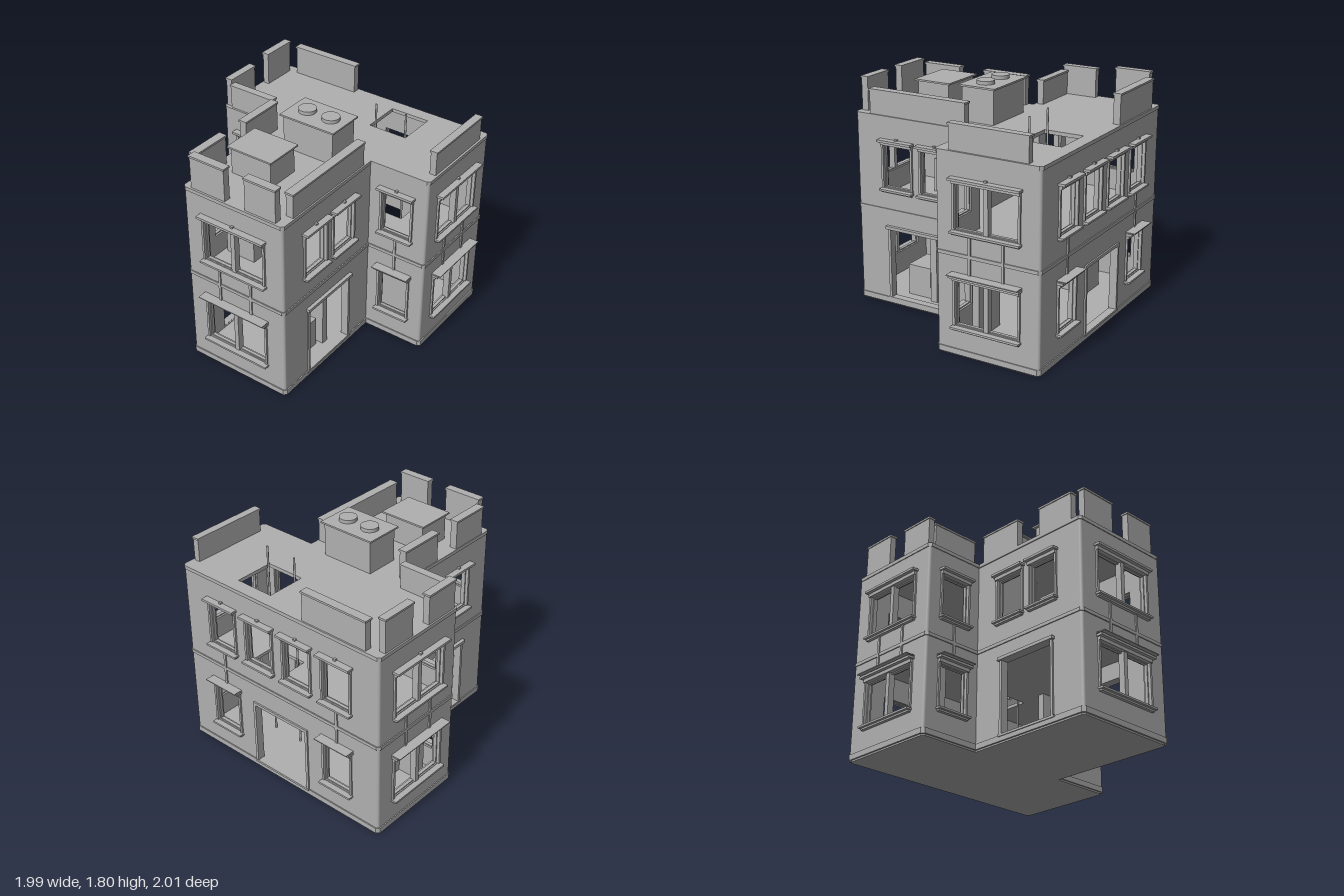
import * as THREE from 'three';

const stone = new THREE.MeshStandardMaterial({ color: 0xb0b0b0 });
stone.name = 'grey stone';

function add(parent, name, geometry) {
  const mesh = new THREE.Mesh(geometry, stone);
  mesh.name = name;
  parent.add(mesh);
  return mesh;
}

// Box given by its minimum and maximum on each axis
function box(parent, name, x0, x1, y0, y1, z0, z1) {
  const mesh = add(parent, name, new THREE.BoxGeometry(x1 - x0, y1 - y0, z1 - z0));
  mesh.position.set((x0 + x1) / 2, (y0 + y1) / 2, (z0 + z1) / 2);
  return mesh;
}

function rectPath(x0, x1, y0, y1) {
  return new THREE.Path([[x0, y0], [x1, y0], [x1, y1], [x0, y1]].map(p => new THREE.Vector2(...p)));
}

const BAR = 0.92, STEM = 0.43, BACK = -0.93, STEP = -0.11, FRONT = 0.925, R = 0.02, THICK = 0.05;

// T-shaped slab with cut outer corners, used for plinth, floors and roof
function slab(parent, name, y0, y1, out, hatch) {
  const c = 0.022, b = BAR + out, s = STEM + out, k = BACK - out, m = STEP + out, f = FRONT + out;
  const half = [[s - c, f], [s, f - c], [s, m], [b - c, m], [b, m - c], [b, k + c], [b - c, k]];
  const outline = [...half, ...half.map(([x, z]) => [-x, z]).reverse()];
  const shape = new THREE.Shape(outline.map(([x, z]) => new THREE.Vector2(x, -z)));
  if (hatch) shape.holes.push(rectPath(0.145, 0.46, 0.52, 0.83));
  const geo = new THREE.ExtrudeGeometry(shape, { depth: y1 - y0, bevelEnabled: false });
  geo.rotateX(-Math.PI / 2);
  add(parent, name, geo).position.y = y0;
}

// Trim around a window; the wall plane is local z = 0 and faces +z
function windowTrim(g, { c, w, y0, y1, panes = 1, strips = [] }, upper) {
  const a = c - w / 2, b = c + w / 2, t = 0.014;
  for (const s of [-1, 1]) {
    const e = c + s * w / 2;
    box(g, 'windowJamb', Math.min(e, e + s * 0.018), Math.max(e, e + s * 0.018), y0, y1, -0.02, t);
  }
  box(g, 'windowSill', a - 0.025, b + 0.025, y0 - 0.02, y0 - 0.005, -0.02, 0.045);
  box(g, 'sillMoulding', a - 0.015, b + 0.015, y0 - 0.033, y0 - 0.02, -0.02, 0.025);
  box(g, 'windowHead', a - 0.018, b + 0.018, y1, y1 + 0.026, -0.02, 0.025);
  box(g, 'lintel', a - 0.03, b + 0.03, y1 + 0.026, y1 + 0.044, -0.02, 0.052);
  if (upper) box(g, 'keystone', c - 0.01, c + 0.01, y1 + 0.044, y1 + 0.056, -0.01, 0.02);
  else box(g, 'dripPlate', a - 0.03, b + 0.03, y1 + 0.05, y1 + 0.057, -0.02, 0.076);
  // slim sash frame in the opening
  const f = 0.008;
  box(g, 'sash', a, b, y0 - 0.005, y0 + f, -0.035, -0.01);
  box(g, 'sash', a, b, y1 - f, y1, -0.035, -0.01);
  box(g, 'sash', a, a + f, y0, y1, -0.035, -0.01);
  box(g, 'sash', b - f, b, y0, y1, -0.035, -0.01);
  if (panes === 2) box(g, 'mullion', c - 0.018, c + 0.018, y0, y1, -0.04, 0.01);
  // strips joining the two storeys
  for (const u of strips) box(g, 'storeyStrip', u - 0.01, u + 0.01, 0.62, 0.92, -0.01, 0.01);
}

function doorTrim(g, { c, w, y0, y1, lintel }) {
  const a = c - w / 2, b = c + w / 2;
  box(g, 'doorJamb', a - 0.022, a, y0, y1, -0.02, 0.012);
  box(g, 'doorJamb', b, b + 0.022, y0, y1, -0.02, 0.012);
  const o = lintel ? 0.033 : 0.022;
  box(g, 'doorLintel', a - o, b + o, y1, y1 + 0.024, -0.02, lintel ? 0.028 : 0.012);
  box(g, 'doorStep', a - o, b + o, 0.045, 0.062, -0.04, 0.015);
}

// Wall with openings: turned by angle, its outer face at the given distance
function wall(parent, name, angle, distance, u0, u1, openings) {
  const g = new THREE.Group();
  g.name = name;
  g.rotation.y = angle;
  g.position.set(Math.sin(angle) * distance, 0, Math.cos(angle) * distance);
  const shape = new THREE.Shape(rectPath(u0, u1, 0.03, 1.49).getPoints());
  for (const o of openings) shape.holes.push(rectPath(o.c - o.w / 2, o.c + o.w / 2, o.y0, o.y1));
  const geo = new THREE.ExtrudeGeometry(shape, { depth: THICK, bevelEnabled: false });
  geo.translate(0, 0, -THICK);
  add(g, name + 'Panel', geo);
  for (const o of openings) o.door ? doorTrim(g, o) : windowTrim(g, o, o.y0 > 0.7);
  parent.add(g);
}

const LOW = { y0: 0.235, y1: 0.575 }, HIGH = { y0: 0.945, y1: 1.28 };
// A window on each storey, the upper one carrying the strips
const stack = (c, w, panes, strips) => [{ c, w, panes, ...LOW }, { c, w, panes, strips, ...HIGH }];

export function createModel() {
  const model = new THREE.Group();
  model.name = 'building';

  // Floors, belt courses and roof
  slab(model, 'baseSlab', 0, 0.015, -0.006);
  slab(model, 'plinth', 0.012, 0.055, 0.008);
  slab(model, 'middleFloor', 0.752, 0.778, 0.008, true);
  slab(model, 'roof', 1.472, 1.5, 0.006, true);

  // Front and back walls
  wall(model, 'frontWall', 0, FRONT, -STEM + R, STEM - R, stack(0, 0.52, 2, [-0.14, 0.14]));
  for (const s of [-1, 1]) {
    const ends = [s * STEM, s * (BAR - R)].sort((a, b) => a - b);
    wall(model, 'wingFrontWall', 0, STEP, ...ends, stack(s * 0.665, 0.245, 1, [s * 0.665]));
  }
  wall(model, 'backWall', Math.PI, -BACK, -BAR + R, BAR - R, [
    ...stack(-0.545, 0.24, 1, [-0.545]), ...stack(0.545, 0.24, 1, [0.545]),
    { c: -0.18, w: 0.24, ...HIGH }, { c: 0.18, w: 0.24, ...HIGH },
    { c: 0, w: 0.49, y0: 0.06, y1: 0.57, door: true },
  ]);

  // Side walls; along each wall u equals -s * z
  for (const s of [-1, 1]) {
    const span = (z0, z1) => [-s * z0, -s * z1].sort((a, b) => a - b);
    const angle = s * Math.PI / 2, side = s > 0 ? 'right' : 'left';
    wall(model, side + 'WingWall', angle, BAR, ...span(BACK + R, STEP - R),
      stack(s * 0.513, 0.5, 2, [s * 0.38, s * 0.645]));
    wall(model, side + 'StemWall', angle, STEM, ...span(STEP, FRONT - R), [
      { c: -s * 0.225, w: 0.24, ...HIGH }, { c: -s * 0.56, w: 0.24, ...HIGH },
      { c: -s * 0.395, w: 0.475, y0: 0.06, y1: 0.62, door: true, lintel: true },
    ]);
    // Rounded corner posts
    for (const [x, z] of [[BAR - R, BACK + R], [BAR - R, STEP - R], [STEM - R, FRONT - R]]) {
      const post = add(model, 'cornerPost', new THREE.CylinderGeometry(R, R, 1.46, 12));
      post.position.set(s * x, 0.76, z);
    }
  }

  // Broken parapet: x0, x1, z0, z1, top
  const parapets = [
    [-0.80, -0.24, -0.925, -0.87, 1.73],
    [-0.915, -0.865, -0.865, -0.585, 1.76],
    [-0.915, -0.865, -0.415, -0.135, 1.73],
    [-0.86, -0.47, -0.17, -0.12, 1.69],
    [0.86, 0.91, -0.83, -0.21, 1.69],
    [-0.43, -0.375, -0.065, 0.30, 1.73],
    [-0.43, -0.375, 0.525, 0.84, 1.73],
    [0.365, 0.425, -0.03, 0.80, 1.69],
    [-0.37, -0.07, 0.86, 0.915, 1.76],
    [0.105, 0.365, 0.86, 0.915, 1.76],
  ];
  for (const [x0, x1, z0, z1, top] of parapets) {
    box(model, 'parapet', x0, x1, 1.495, top - 0.015, z0, z1);
    const e = 0.006;
    box(model, 'parapetCap', x0 - e, x1 + e, top - 0.015, top, z0 - e, z1 + e);
  }

  // Roof housings and vents
  box(model, 'ventHousing', -0.185, 0.245, 1.495, 1.76, -0.16, 0.105);
  box(model, 'ventHousingCap', -0.205, 0.265, 1.76, 1.773, -0.18, 0.125);
  for (const x of [-0.07, 0.135]) {
    add(model, 'roofVent', new THREE.CylinderGeometry(0.067, 0.067, 0.028, 32)).position.set(x, 1.786, -0.03);
  }
  box(model, 'roofHousing', -0.265, 0.08, 1.495, 1.705, 0.33, 0.60);
  box(model, 'roofHousingCap', -0.285, 0.10, 1.705, 1.718, 0.31, 0.62);

  // Hatch ladder rails through both storeys
  for (const x of [0.172, 0.432]) {
    add(model, 'ladderRail', new THREE.CylinderGeometry(0.008, 0.008, 1.62, 8)).position.set(x, 0.86, -0.56);
  }

  // Inner partitions and furniture
  box(model, 'partition', 0, 0.34, 0.05, 0.755, 0.285, 0.34);
  box(model, 'partition', 0.43, 0.72, 0.05, 0.755, -0.33, -0.275);
  box(model, 'partition', -0.80, -0.585, 0.05, 0.755, -0.33, -0.275);
  box(model, 'upperPartition', -0.34, 0.03, 0.775, 1.475, 0, 0.05);
  box(model, 'counter', 0.05, 0.3, 0.05, 0.3, 0.37, 0.57);
  box(model, 'cabinet', -0.62, -0.4, 0.05, 0.37, -0.61, -0.475);
  box(model, 'bench', -0.62, -0.4, 0.05, 0.29, -0.47, -0.325);
  box(model, 'upperCabinet', -0.35, -0.1, 0.775, 1.045, 0.45, 0.59);

  return model;
}
